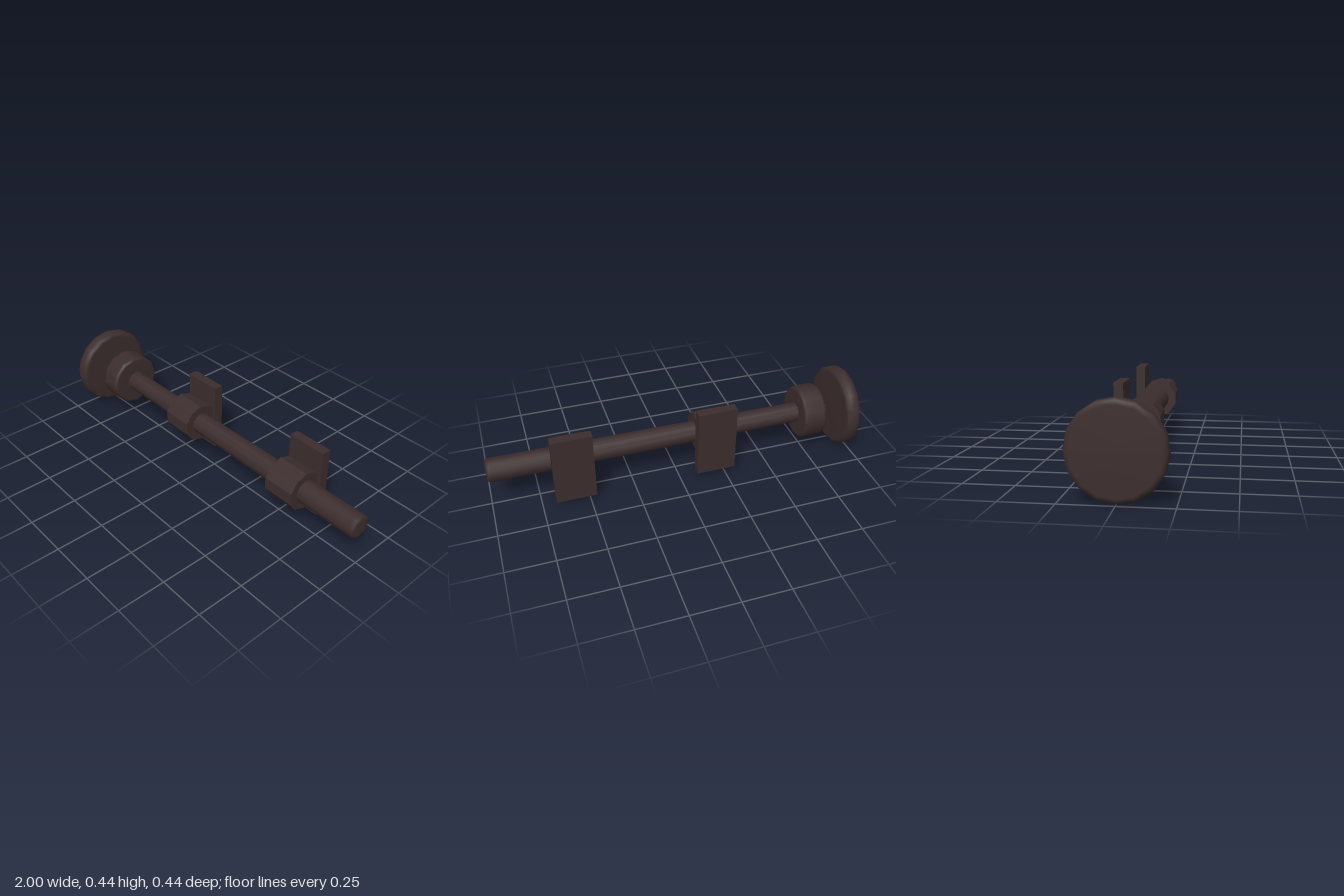
import * as THREE from 'three';

export function createModel() {
  const model = new THREE.Group();
  const darkMetal = new THREE.MeshStandardMaterial({ name: 'dark brown metal', color: 0x3c2d2d });
  const paleBone = new THREE.MeshStandardMaterial({ name: 'pale bone', color: 0xb5aa94 });
  const AXIS_Y = 0.225;

  function add(name, geometry, material, x, y = AXIS_Y, z = 0) {
    const mesh = new THREE.Mesh(geometry, material);
    mesh.name = name;
    mesh.position.set(x, y, z);
    model.add(mesh);
    return mesh;
  }

  // Profile of [radius, x] pairs turned around the rod's axis
  function turned(name, profile, sides) {
    const points = profile.map(([r, x]) => new THREE.Vector2(r, x));
    const geometry = new THREE.LatheGeometry(points, sides);
    geometry.rotateZ(-Math.PI / 2);
    return add(name, geometry, darkMetal, 0);
  }

  // Long rod, slightly thicker towards its free end, with an eased tip
  turned('rod', [
    [0, -0.8], [0.054, -0.8], [0.054, -0.8], [0.063, 0.98],
    [0.06, 0.995], [0.045, 1], [0, 1],
  ], 12);

  // Hub at the base of the rod
  turned('hub', [
    [0, -0.835], [0.13, -0.835], [0.143, -0.828], [0.146, -0.815],
    [0.146, -0.725], [0.143, -0.712], [0.13, -0.705], [0, -0.705],
  ], 12);

  // Separate end disc
  turned('endDisc', [
    [0, -1], [0.195, -1], [0.214, -0.994], [0.222, -0.975],
    [0.222, -0.945], [0.214, -0.926], [0.195, -0.92], [0, -0.92],
  ], 16);

  // Small pale ornament on the outer face of the hub
  const dome = new THREE.SphereGeometry(0.04, 10, 8);
  dome.scale(0.8, 1, 1);
  add('ornamentDome', dome, paleBone, -0.84, 0.25, 0);
  for (const z of [-0.06, 0.06]) {
    const knob = new THREE.SphereGeometry(0.024, 8, 6);
    add('ornamentKnob', knob, paleBone, -0.835, 0.275, z);
  }
  add('ornamentFoot', new THREE.BoxGeometry(0.03, 0.05, 0.07), paleBone, -0.84, 0.178, 0);

  // Two wall brackets: a faceted collar with a plate behind it
  const ringMaterial = darkMetal;
  for (const x of [-0.195, 0.573]) {
    const collar = new THREE.CylinderGeometry(0.105, 0.105, 0.172, 10, 1, false, Math.PI / 2).toNonIndexed();
    collar.rotateZ(-Math.PI / 2);
    collar.computeVertexNormals();
    add('collar', collar, ringMaterial, x);
    add('wallPlate', new THREE.BoxGeometry(0.212, 0.382, 0.05), darkMetal, x, 0.226, -0.108);
  }

  return model;
}
